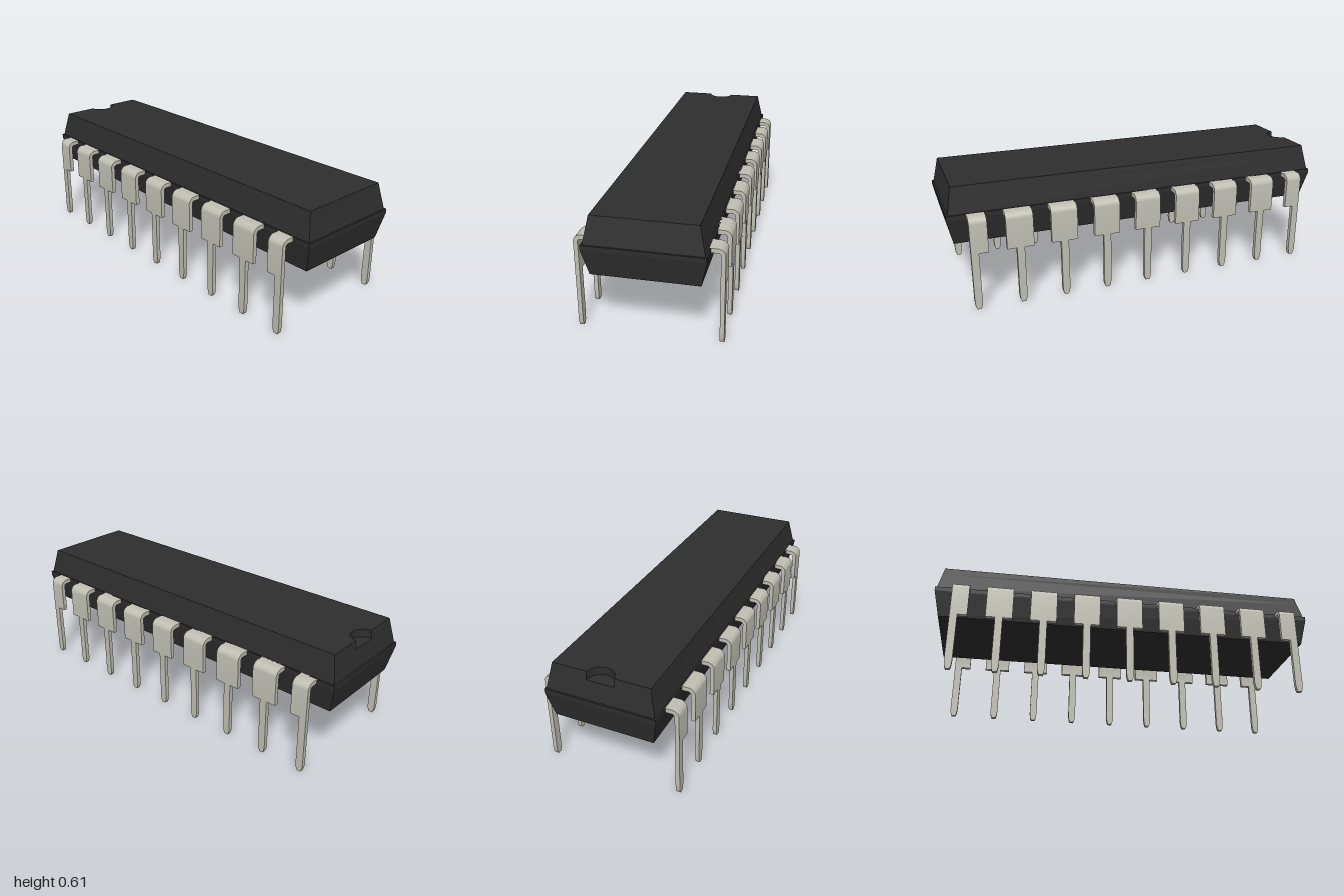
import * as THREE from 'three';
import { toCreasedNormals } from 'three/addons/utils/BufferGeometryUtils.js';

const NOTCH_Z = -0.973, NOTCH_R = 0.068, NOTCH_SEG = 24;

// Half-circle of the end notch, clipped where it meets the back edge at z = -hz
function notchArc(y, hz) {
  const a0 = Math.asin((-hz - NOTCH_Z) / NOTCH_R);
  return Array.from({ length: NOTCH_SEG + 1 }, (_, i) => {
    const a = a0 + (Math.PI - 2 * a0) * i / NOTCH_SEG;
    return new THREE.Vector3(NOTCH_R * Math.cos(a), y, NOTCH_Z + NOTCH_R * Math.sin(a));
  });
}

// Rectangular cross-section, optionally with the notch in its back edge
function ring(y, hx, hz, notched = false) {
  const v = (x, z) => new THREE.Vector3(x, y, z);
  return [v(hx, hz), v(hx, -hz), ...(notched ? notchArc(y, hz) : []), v(-hx, -hz), v(-hx, hz)];
}

// Triangles joining two rings, from lower to upper
function wall(a, b) {
  return a.flatMap((p, i) => {
    const j = (i + 1) % a.length;
    return [p, a[j], b[j], p, b[j], b[i]];
  });
}

// Flat cap over a ring, facing up or down
function cap(r, up = true) {
  const flat = r.map(p => new THREE.Vector2(p.x, -p.z));
  return THREE.ShapeUtils.triangulateShape(flat, [])
    .flatMap(([a, b, c]) => up ? [r[a], r[b], r[c]] : [r[a], r[c], r[b]]);
}

function mesh(name, triangles, material) {
  const g = new THREE.BufferGeometry().setFromPoints(triangles);
  const m = new THREE.Mesh(toCreasedNormals(g, 0.17), material);
  m.name = name;
  return m;
}

// Bent shoulder of a lead: an L-shaped strip between z0 and z1
function shoulderGeometry(z0, z1) {
  const s = new THREE.Shape();
  s.moveTo(0.26, 0.456);
  s.lineTo(0.309, 0.456);
  s.absarc(0.309, 0.443, 0.013, Math.PI / 2, 0, true);
  s.lineTo(0.322, 0.295);
  s.lineTo(0.343, 0.295);
  s.lineTo(0.343, 0.443);
  s.absarc(0.308, 0.443, 0.035, 0, Math.PI / 2, false);
  s.lineTo(0.26, 0.478);
  const g = new THREE.ExtrudeGeometry(s, { depth: z1 - z0, bevelEnabled: false, curveSegments: 10 });
  return toCreasedNormals(g.translate(0, 0, z0), 0.5);
}

// Narrow stem with a tapered tip
function stemGeometry() {
  const s = new THREE.Shape([
    [-0.01, 0], [0.01, 0], [0.016, 0.015], [0.019, 0.04], [0.019, 0.297],
    [-0.019, 0.297], [-0.019, 0.04], [-0.016, 0.015],
  ].map(([x, y]) => new THREE.Vector2(x, y)));
  return new THREE.ExtrudeGeometry(s, { depth: 0.021, bevelEnabled: false })
    .rotateY(-Math.PI / 2).translate(0.343, 0, 0);
}

export function createModel() {
  const model = new THREE.Group();
  model.name = 'chipPackage';
  const plastic = new THREE.MeshStandardMaterial({ color: 0x2e2e2e });
  const metal = new THREE.MeshStandardMaterial({ color: 0xc0bfb3 });

  // Lower half of the case with its vertical parting band
  const base = ring(0.324, 0.25, 0.972);
  const bandLow = ring(0.455, 0.278, 1), bandTop = ring(0.478, 0.278, 1);
  model.add(mesh('lowerCase',
    [...cap(base, false), ...wall(base, bandLow), ...wall(bandLow, bandTop), ...cap(bandTop)], plastic));

  // Upper half, slightly inset, with the orientation notch at the back
  const foot = ring(0.478, 0.27, 0.992);
  const mid = [0.57, 0.251, 0.973], top = ring(0.61, 0.243, 0.965, true);
  model.add(mesh('upperCase', [
    ...wall(foot, ring(...mid)), ...wall(ring(...mid, true), top), ...cap(top),
    ...cap(notchArc(0.57, 0.973).reverse()),
  ], plastic));

  // Nine leads per side; the end ones have a shoulder on the inner side only
  const wide = 0.067, narrow = 0.019;
  const stem = stemGeometry();
  const shoulders = {
    front: shoulderGeometry(-wide, narrow),
    middle: shoulderGeometry(-wide, wide),
    back: shoulderGeometry(-narrow, wide),
  };
  for (const side of ['left', 'right']) {
    const row = new THREE.Group();
    row.name = side + 'Leads';
    for (let i = -4; i <= 4; i++) {
      const lead = new THREE.Group();
      lead.name = 'lead';
      const shoulder = new THREE.Mesh(shoulders[i === 4 ? 'front' : i === -4 ? 'back' : 'middle'], metal);
      shoulder.name = 'leadShoulder';
      const pin = new THREE.Mesh(stem, metal);
      pin.name = 'leadStem';
      lead.add(shoulder, pin);
      lead.position.z = i * 0.2222;
      row.add(lead);
    }
    if (side === 'right') row.rotation.y = Math.PI;
    model.add(row);
  }
  return model;
}
